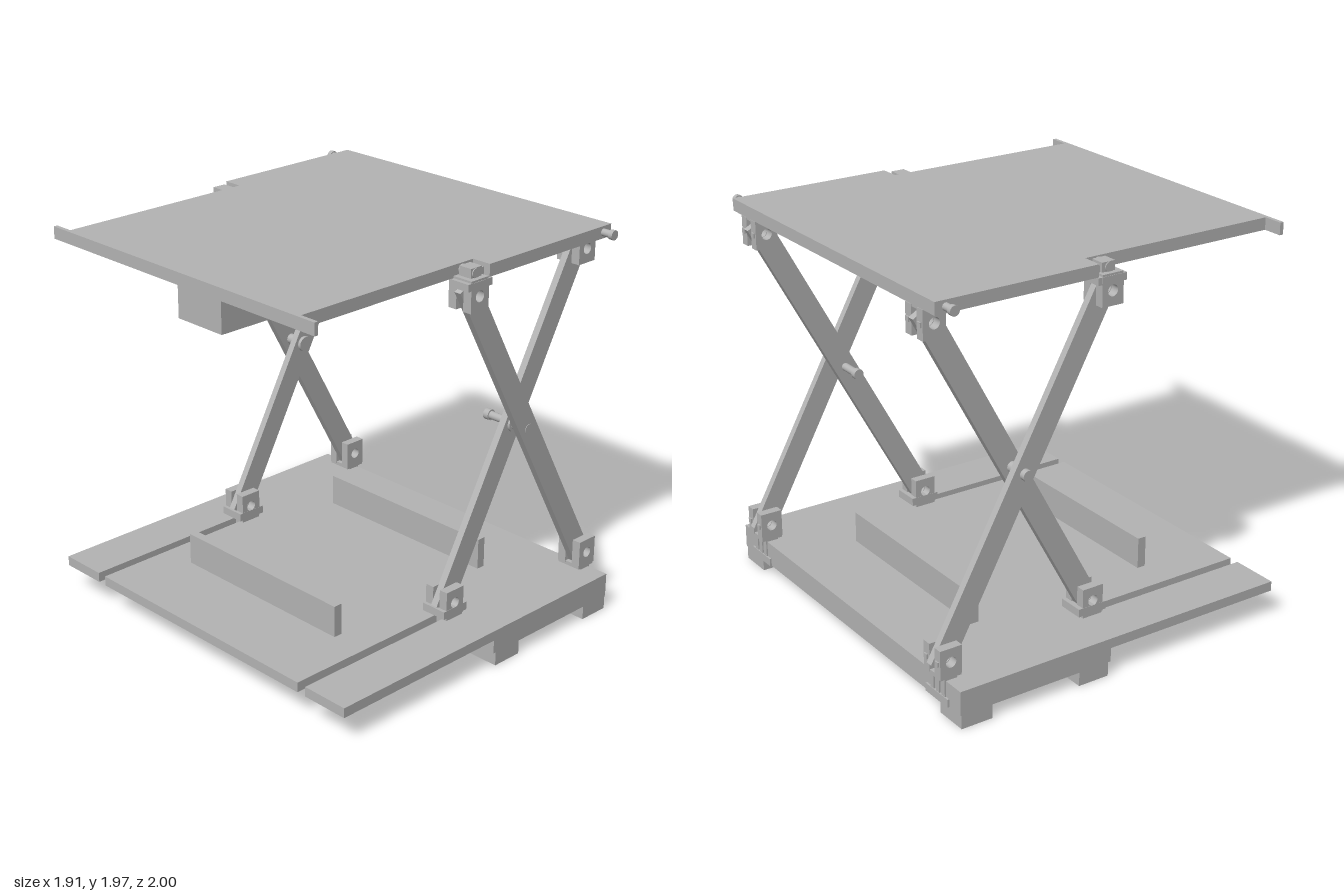
import * as THREE from 'three';

const grey = new THREE.MeshStandardMaterial({ color: 0xb4b4b4 });
grey.name = 'machined grey';

export function createModel() {
  const model = new THREE.Group();
  model.name = 'scissorLift';

  const add = (name, geometry, parent = model) => {
    const mesh = new THREE.Mesh(geometry, grey);
    mesh.name = name;
    parent.add(mesh);
    return mesh;
  };
  // Box given by its limits on each axis
  const box = (name, x0, x1, y0, y1, z0, z1) => {
    const mesh = add(name, new THREE.BoxGeometry(x1 - x0, y1 - y0, Math.abs(z1 - z0)));
    mesh.position.set((x0 + x1) / 2, (y0 + y1) / 2, (z0 + z1) / 2);
    return mesh;
  };
  // Round pin lying along z
  const pin = (name, x, y, z0, z1, r) => {
    const geometry = new THREE.CylinderGeometry(r, r, Math.abs(z1 - z0), 20).rotateX(Math.PI / 2);
    add(name, geometry).position.set(x, y, (z0 + z1) / 2);
  };
  // Horizontal plate from an outline of half its width, mirrored in z
  const plate = (name, half, y0, y1) => {
    const outline = [...half, ...half.map(([x, z]) => [x, -z]).reverse()];
    const shape = new THREE.Shape(outline.map(([x, z]) => new THREE.Vector2(x, z)));
    const geometry = new THREE.ExtrudeGeometry(shape, { depth: y1 - y0, bevelEnabled: false });
    add(name, geometry.rotateX(-Math.PI / 2)).position.y = y0;
  };
  // Upright rectangular sheet with round through holes
  const drilled = (w, h, depth, holes) => {
    const shape = new THREE.Shape([[-w, -h], [w, -h], [w, h], [-w, h]].map(([x, y]) => new THREE.Vector2(x / 2, y / 2)));
    for (const y of holes) {
      const hole = new THREE.Path();
      hole.absarc(0, y, 0.027, 0, Math.PI * 2, true);
      shape.holes.push(hole);
    }
    return new THREE.ExtrudeGeometry(shape, { depth, bevelEnabled: false, curveSegments: 20 }).translate(0, 0, -depth / 2);
  };

  const xSlide = 0.03, xFixed = 0.885, yLow = 0.28, yHigh = 1.84;
  const zOuter = 0.823, zInner = 0.725;

  // Base: thick fixed end and thin end with two open guide slots
  box('baseThickPlate', 0.08, 0.91, 0.07, 0.19, -1, 1);
  plate('baseSlottedPlate', [[-0.9, 0.7], [0.08, 0.7], [0.08, 0.75], [-0.9, 0.75], [-0.9, 1], [0.085, 1]]
    .slice(0, 2).concat([[0.085, 0.7]]), 0.14, 0.19);
  for (const s of [1, -1]) {
    box('baseSideStrip', -0.9, 0.085, 0.14, 0.19, s * 0.75, s);
    for (const x of [0.095, 0.74]) box('foot', x, x + 0.165, 0, 0.07, s * 0.83, s);
  }
  for (const x of [-0.498, 0.49]) box('baseRail', x, x + 0.045, 0.19, 0.35, -0.52, 0.52);

  // Cross rod and hub under the base
  pin('crossRod', xSlide, 0.12, -0.72, 0.72, 0.014);
  add('rodHub', new THREE.CylinderGeometry(0.06, 0.06, 0.06, 24)).position.set(0.06, 0.11, 0);

  // Top platform with a narrowed sliding end, end lip and hanging weight box
  plate('platform', [[-0.94, 0.78], [0.1, 0.78], [0.1, 0.88], [0.94, 0.88]], 1.91, 1.97);
  box('platformLip', -0.955, -0.935, 1.91, 1.97, -0.88, 0.88);
  box('hangingBox', -0.825, -0.535, 1.68, 1.91, -0.147, 0.147);

  // Forked bracket holding one arm end; dir is the side of its mounting web
  const bracket = (x, y, z, dir) => {
    const group = new THREE.Group();
    group.name = 'armBracket';
    group.position.set(x, y, z);
    for (const s of [1, -1]) {
      add('bracketCheek', drilled(0.115, 0.14, 0.046, [0]), group).position.z = s * 0.044;
    }
    add('bracketWeb', new THREE.BoxGeometry(0.11, 0.02, 0.13), group).position.y = dir * 0.07;
    model.add(group);
  };
  const arm = (z, lean) => {
    const dx = xFixed - xSlide, dy = yHigh - yLow, length = Math.hypot(dx, dy);
    const mesh = add('scissorArm', drilled(0.114, length + 0.1, 0.036, [length / 2, -length / 2]));
    mesh.position.set((xSlide + xFixed) / 2, (yLow + yHigh) / 2, z);
    mesh.rotation.z = lean * Math.atan2(dx, dy);
  };

  for (const s of [1, -1]) {
    const zo = s * zOuter, zi = s * zInner;
    arm(zo, 1);
    arm(zi, -1);
    bracket(xSlide, yHigh, zo, 1);
    bracket(xFixed, yLow, zo, -1);
    bracket(xSlide, yLow, zi, -1);
    bracket(xFixed, yHigh, zi, 1);

    // Upper slider running along the platform edge
    box('upperSliderFlange', -0.045, 0.11, 1.875, 1.91, s * 0.785, s * 0.89).scale.z = 0.98;
    box('upperSliderBlock', 0, 0.07, 1.91, 1.965, s * 0.79, s * 0.86);
    box('upperSliderTab', 0.07, 0.105, 1.91, 1.95, s * 0.805, s * 0.845);
    pin('upperSliderPin', xSlide, 1.94, s * 0.78, s * 0.865, 0.024);

    // Lower slider passing through the base slot
    box('lowerSliderFlange', -0.045, 0.11, 0.215, 0.255, zi - 0.068, zi + 0.068);
    box('lowerSliderStem', 0, 0.07, 0.13, 0.22, zi - 0.02, zi + 0.02);
    box('lowerSliderBlock', -0.045, 0.08, 0.075, 0.14, zi - 0.06, zi + 0.06);
    pin('lowerSliderPin', xSlide, 0.12, zi - 0.066, zi + 0.066, 0.024);

    // Fixed lower mount on the end of the base
    box('fixedMountSlab', 0.84, 0.92, 0.07, 0.11, s * 0.73, s * 0.91);
    for (const z of [0.78, 0.825, 0.87]) box('fixedMountStem', 0.85, 0.917, 0.1, 0.2, s * z - 0.014, s * z + 0.014);

    // Stub shafts at the fixed end of the platform
    pin('stubShaft', xFixed, 1.94, s * 0.87, s * 0.93, 0.018);
    pin('stubShaftHead', xFixed, 1.94, s * 0.925, s * 0.948, 0.024);

    // Small screw ends on the fixed brackets
    for (const [y, z] of [[yHigh, zi], [yLow, zo]]) {
      for (const o of [-0.045, 0.045]) box('screwEnd', 0.93, 0.95, y - 0.012, y + 0.012, s * o + z - 0.012, s * o + z + 0.012);
    }
    pin('pivotCore', 0.4575, 1.06, s * 0.71, s * 0.844, 0.027);
  }

  // Centre pivot bolts, both with their heads toward the front
  for (const z of [0.755, -0.69]) {
    pin('pivotBoltHead', 0.4575, 1.06, z, z - 0.02, 0.04);
    pin('pivotBoltShaft', 0.4575, 1.06, z - 0.02, z - 0.155, 0.02);
    pin('pivotBoltEnd', 0.4575, 1.06, z - 0.15, z - 0.18, 0.027);
  }
  return model;
}
